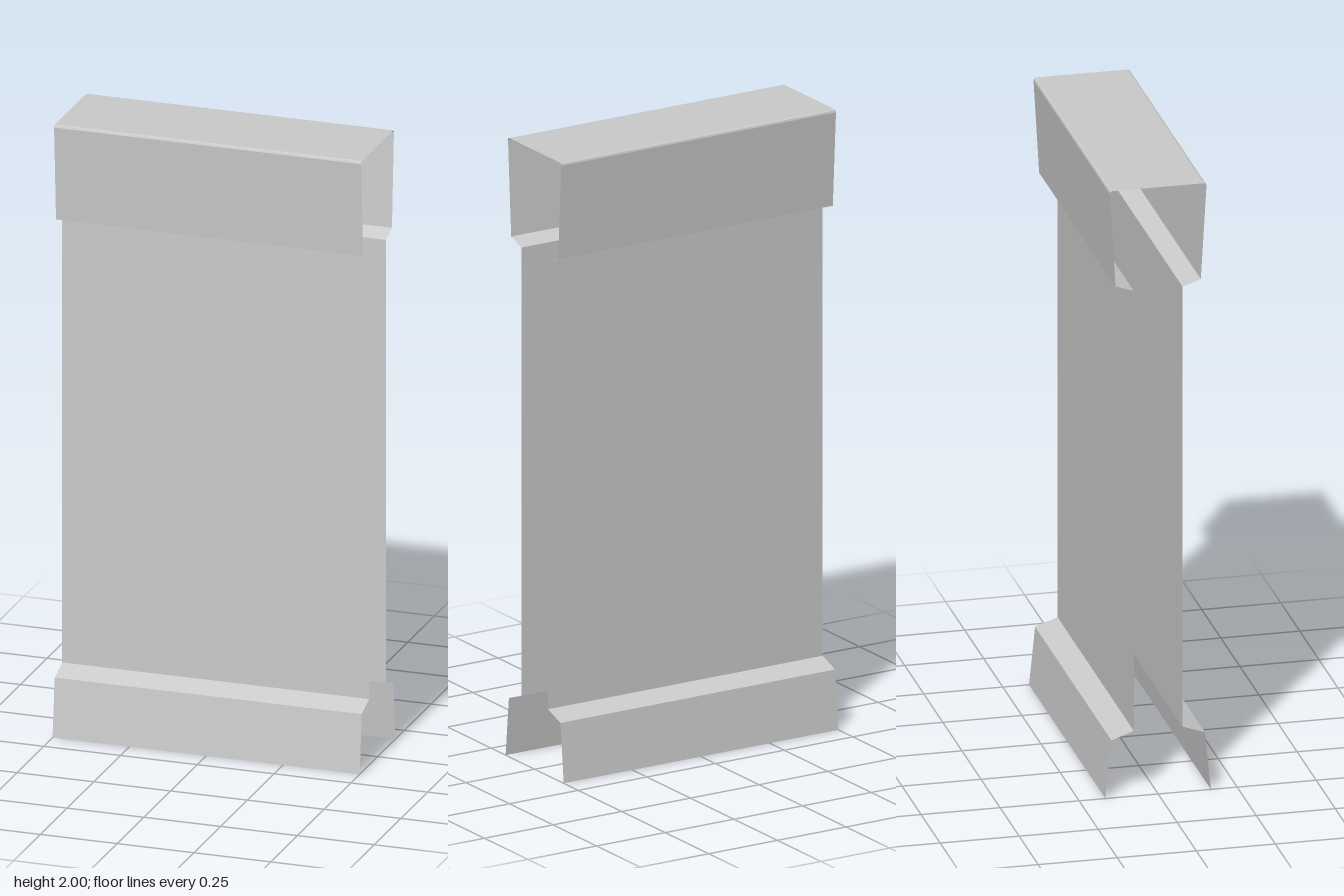
import * as THREE from 'three';

const HALF = 0.5; // half of the length along x

// Folds a thin sheet along x through [z, y] profile points, with a crisp edge at each fold.
function foldedSheet(name, profile, material) {
  const positions = [];
  for (let i = 0; i < profile.length - 1; i++) {
    const [z0, y0] = profile[i];
    const [z1, y1] = profile[i + 1];
    positions.push(
      -HALF, y0, z0, HALF, y1, z1, -HALF, y1, z1,
      -HALF, y0, z0, HALF, y0, z0, HALF, y1, z1,
    );
  }
  const geometry = new THREE.BufferGeometry();
  geometry.setAttribute('position', new THREE.Float32BufferAttribute(positions, 3));
  geometry.computeVertexNormals();
  const mesh = new THREE.Mesh(geometry, material);
  mesh.name = name;
  return mesh;
}

export function createModel() {
  const group = new THREE.Group();
  group.name = 'hollowWallSection';
  const material = new THREE.MeshStandardMaterial({ color: 0xcccccc, side: THREE.DoubleSide });

  // Coping: sloped lip, tapering face and softened top edge, mirrored to the back
  const capSide = [[0.077, 1.665], [0.135, 1.685], [0.153, 1.992], [0.151, 1.998], [0.145, 2]];
  const capBack = capSide.map(([z, y]) => [-z, y]).reverse();
  group.add(foldedSheet('cap', [...capSide, ...capBack], material));

  // Upright panel and flared base skirt on each face
  for (const [side, turn] of [['front', 0], ['back', Math.PI]]) {
    const face = new THREE.Group();
    face.name = side + 'Face';
    face.add(foldedSheet(side + 'Panel', [[0.077, 0.215], [0.077, 1.665]], material));
    face.add(foldedSheet(side + 'Skirt', [[0.167, 0], [0.148, 0.19], [0.077, 0.215]], material));
    face.rotation.y = turn;
    group.add(face);
  }
  return group;
}
